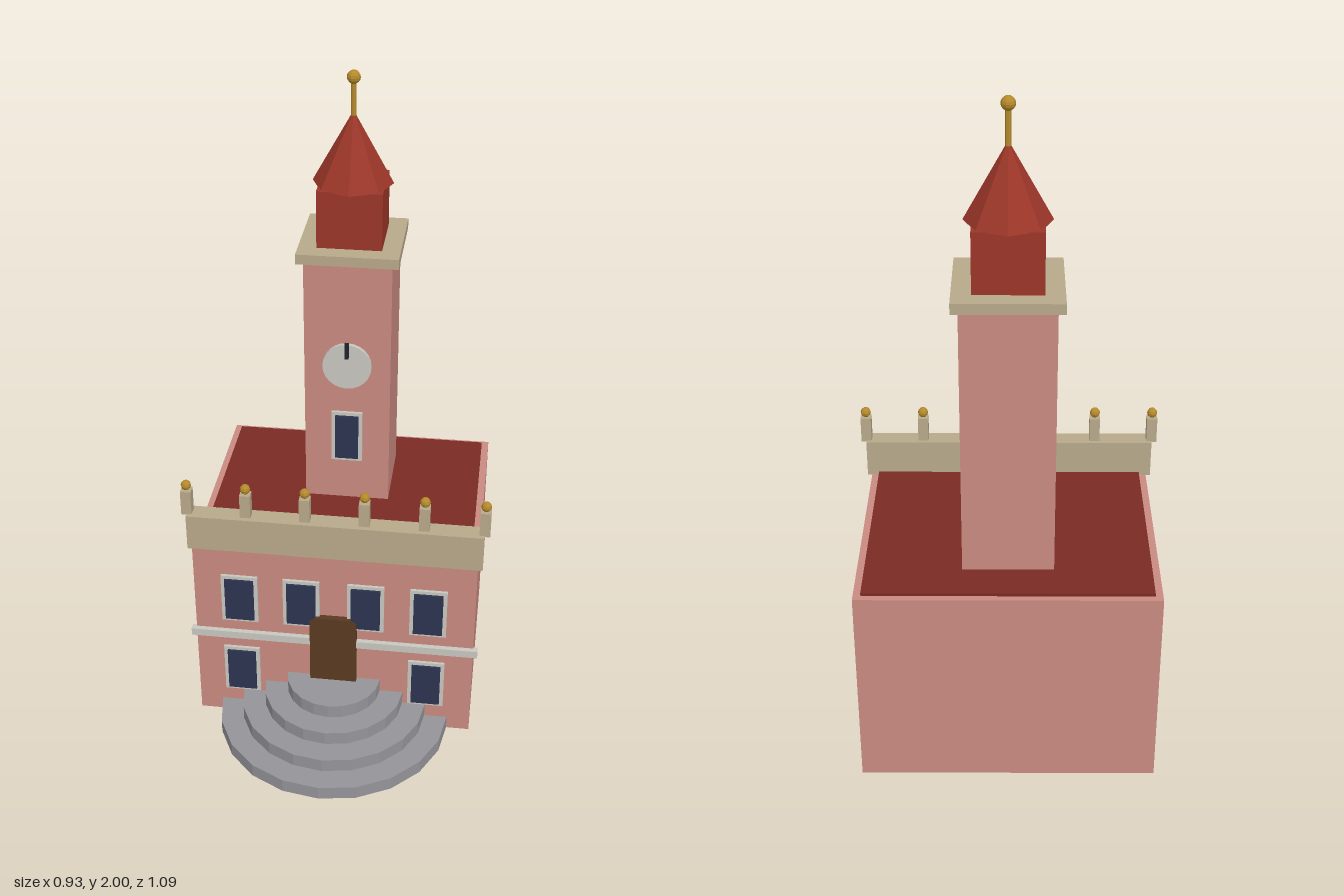
import * as THREE from 'three';

const paint = (name, color) => {
  const m = new THREE.MeshStandardMaterial({ color, flatShading: true });
  m.name = name;
  return m;
};

export function createModel() {
  const model = new THREE.Group();
  model.name = 'townHall';

  const wall = paint('pinkWall', 0xc98a80);
  const stone = paint('sandStone', 0xb8a98a);
  const roofRed = paint('roofRed', 0x7a2b23);
  const spireRed = paint('spireRed', 0x9c3629);
  const stepGrey = paint('stepGrey', 0x959499);
  const trim = paint('paleTrim', 0xc8c7bf);
  const glass = paint('darkGlass', 0x2b3350);
  const wood = paint('doorWood', 0x5a3a22);
  const gold = paint('gold', 0xb58a2c);
  const ink = paint('clockHandDark', 0x20242e);

  const add = (name, geometry, material, x, y, z, parent = model) => {
    const mesh = new THREE.Mesh(geometry, material);
    mesh.name = name;
    mesh.position.set(x, y, z);
    parent.add(mesh);
    return mesh;
  };
  // Box given by its width, bottom and top, back and front
  const block = (name, material, x, w, y0, y1, z0, z1, parent) =>
    add(name, new THREE.BoxGeometry(w, y1 - y0, z1 - z0), material,
      x, (y0 + y1) / 2, (z0 + z1) / 2, parent);

  // Framed window standing on a wall plane
  const addWindow = (name, x, y, wallZ, w, h) => {
    const g = new THREE.Group();
    g.name = name;
    block('windowFrame', trim, x, w, y - h / 2, y + h / 2, wallZ - 0.005, wallZ + 0.009, g);
    block('windowPane', glass, x, w - 0.024, y - h / 2 + 0.011, y + h / 2 - 0.011,
      wallZ + 0.007, wallZ + 0.016, g);
    model.add(g);
  };

  // Main hall
  const front = 0.184;
  block('hallBody', wall, 0, 0.872, 0, 0.637, -0.545, front);
  block('hallRoof', roofRed, 0, 0.828, 0.63, 0.646, -0.525, 0.15);
  block('parapet', stone, 0, 0.9, 0.636, 0.754, 0.124, front);
  block('beltCourse', trim, 0, 0.9, 0.31, 0.335, 0.178, 0.2);

  // Posts with gilded balls along the parapet
  for (let i = 0; i < 6; i++) {
    const x = -0.45 + i * 0.18;
    block('parapetPost', stone, x, 0.032, 0.75, 0.832, 0.137, 0.169);
    add('postBall', new THREE.SphereGeometry(0.016, 8, 6), gold, x, 0.848, 0.153);
  }

  // Facade windows: four above, two below
  for (const x of [-0.293, -0.1, 0.1, 0.293]) addWindow('upperWindow', x, 0.462, front, 0.114, 0.172);
  for (const x of [-0.293, 0.293]) addWindow('lowerWindow', x, 0.182, front, 0.114, 0.172);

  // Door with clipped upper corners
  const doorShape = new THREE.Shape([
    [-0.073, 0.12], [0.073, 0.12], [0.073, 0.405], [0.055, 0.419], [-0.055, 0.419], [-0.073, 0.405],
  ].map(([x, y]) => new THREE.Vector2(x, y)));
  add('frontDoor', new THREE.ExtrudeGeometry(doorShape, { depth: 0.023, bevelEnabled: false }),
    wood, 0, 0, 0.18);

  // Half-round entrance steps
  [0.365, 0.293, 0.221, 0.148].forEach((r, i) => {
    add('entranceStep', new THREE.CylinderGeometry(r, r, 0.044, 10, 1, false, -Math.PI / 2, Math.PI),
      stepGrey, 0, 0.022 + i * 0.044, 0.18);
  });

  // Clock tower
  const tz = -0.277;
  const towerFront = tz + 0.132;
  const square = (name, material, half, y0, y1) =>
    block(name, material, 0, half * 2, y0, y1, tz - half, tz + half);
  square('towerShaft', wall, 0.132, 0.63, 1.465);
  square('towerCornice', stone, 0.152, 1.463, 1.494);
  square('belfry', spireRed, 0.097, 1.49, 1.67);
  addWindow('towerWindow', 0, 0.876, towerFront, 0.096, 0.174);

  // Clock face and hand
  const face = add('clockFace', new THREE.CylinderGeometry(0.075, 0.075, 0.02, 24),
    trim, 0, 1.127, towerFront + 0.004);
  face.rotation.x = Math.PI / 2;
  block('clockHand', ink, 0, 0.012, 1.158, 1.21, towerFront + 0.013, towerFront + 0.022);

  // Spire, pole and finial
  add('spire', new THREE.ConeGeometry(0.12, 0.215, 8), spireRed, 0, 1.7755, tz);
  add('finialPole', new THREE.CylinderGeometry(0.008, 0.008, 0.12, 8), gold, 0, 1.92, tz);
  add('finialBall', new THREE.SphereGeometry(0.02, 10, 8), gold, 0, 1.98, tz);

  return model;
}
